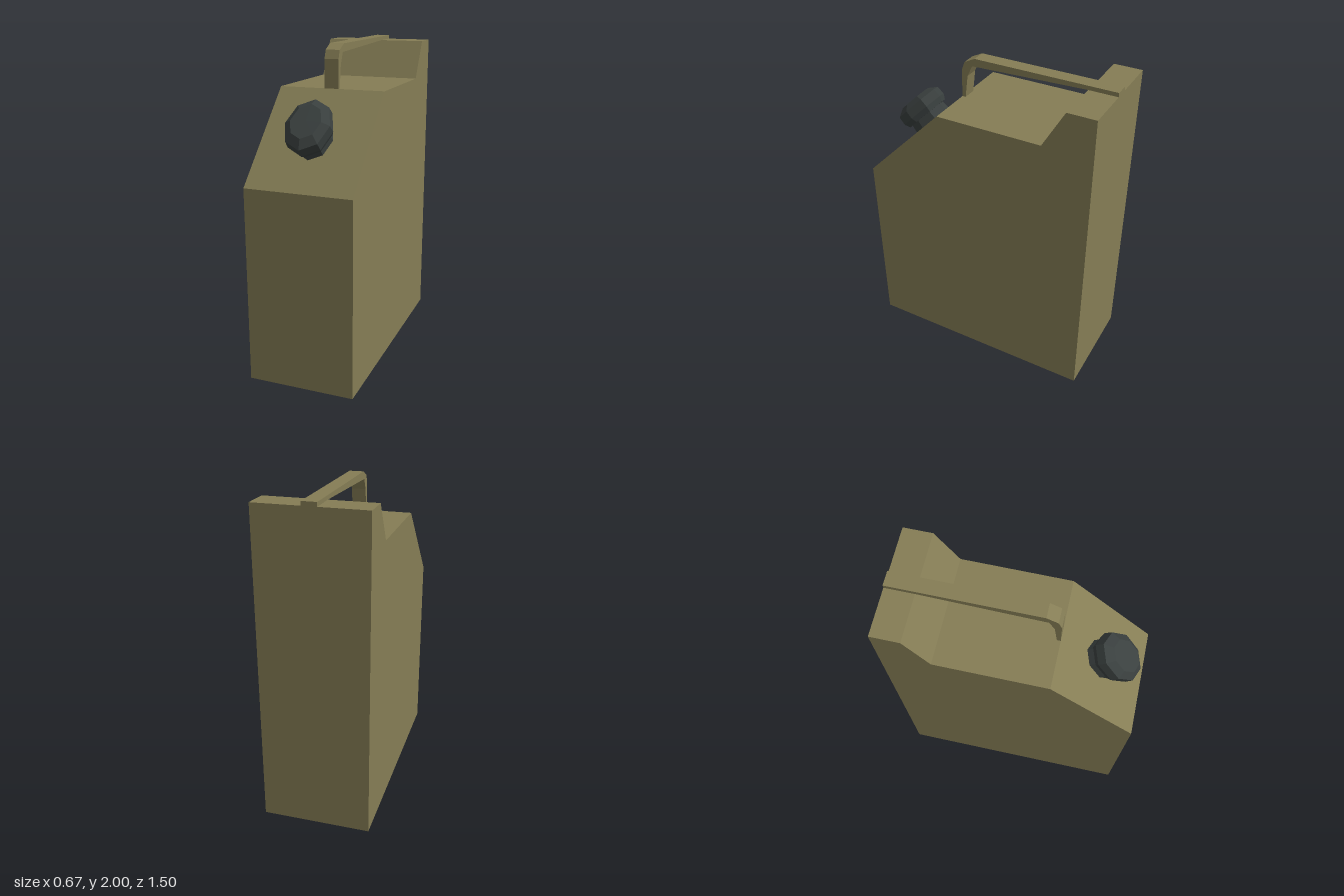
import * as THREE from 'three';

const olive = new THREE.MeshStandardMaterial({ color: 0x857d55, flatShading: true });
const dark = new THREE.MeshStandardMaterial({ color: 0x3a403f, flatShading: true });

// Extrudes a side profile of [z, y] points across x, centred on x = 0
function sidePanel(name, points, width) {
  const shape = new THREE.Shape(points.map(([z, y]) => new THREE.Vector2(z, y)));
  const geometry = new THREE.ExtrudeGeometry(shape, { depth: width, bevelEnabled: false });
  geometry.translate(0, 0, -width / 2);
  geometry.rotateY(-Math.PI / 2);
  const mesh = new THREE.Mesh(geometry, olive);
  mesh.name = name;
  return mesh;
}

// Eight-sided turned part from [radius, height] points
function turned(name, points) {
  const profile = points.map(([r, h]) => new THREE.Vector2(r, h));
  const mesh = new THREE.Mesh(new THREE.LatheGeometry(profile, 8), dark);
  mesh.name = name;
  return mesh;
}

export function createModel() {
  const model = new THREE.Group();
  model.name = 'fuelCan';

  // Can body with sloped shoulder and raised back
  model.add(sidePanel('body', [
    [-0.75, 0], [0.75, 0], [0.75, 1.218], [0.23, 1.738],
    [-0.44, 1.738], [-0.575, 1.975], [-0.75, 1.975],
  ], 0.67));

  // Carrying handle, bent down at the front
  model.add(sidePanel('handle', [
    [0.23, 1.735], [0.228, 1.913], [0.208, 1.966], [0.14, 2], [-0.75, 2],
    [-0.75, 1.975], [-0.577, 1.975], [0.157, 1.95], [0.19, 1.88], [0.208, 1.735],
  ], 0.09));

  // Spout and screw cap, square to the slope and slightly oval
  const spout = new THREE.Group();
  spout.name = 'spout';
  spout.add(turned('neck', [[0.146, -0.02], [0.146, 0], [0.138, 0.06]]));
  spout.add(turned('cap', [
    [0, 0.055], [0.16, 0.055], [0.18, 0.09], [0.176, 0.146], [0.12, 0.178], [0, 0.18],
  ]));
  spout.position.set(0, 1.479, 0.489);
  spout.rotation.x = Math.PI / 4;
  spout.scale.x = 0.785;
  model.add(spout);

  return model;
}
